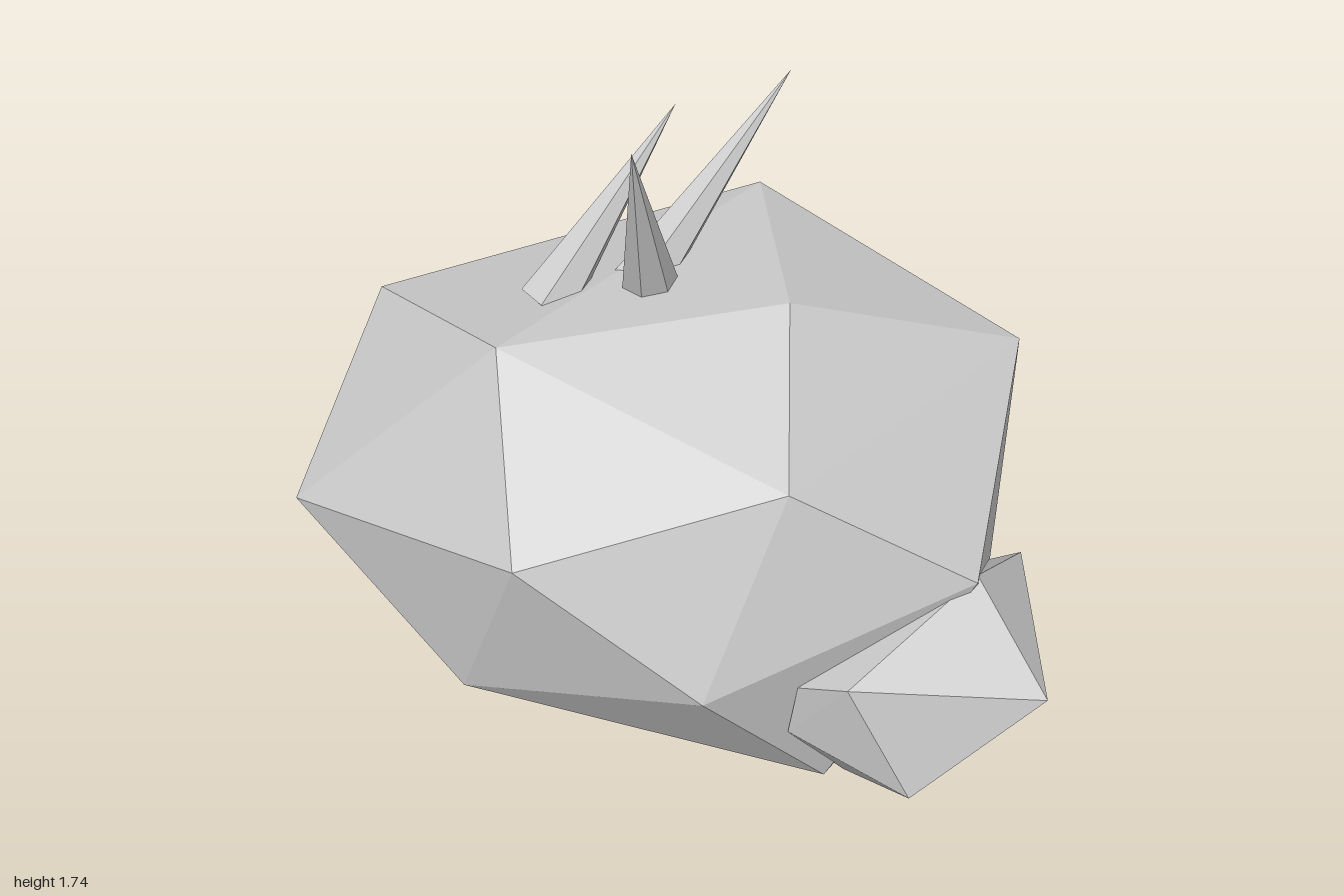
import * as THREE from 'three';
import { ConvexGeometry } from 'three/addons/geometries/ConvexGeometry.js';

const material = new THREE.MeshStandardMaterial({ color: 0xcccccc, flatShading: true });

// Faceted stone: the hull around a few corner points
function stone(name, corners) {
  const points = corners.map((c) => new THREE.Vector3(...c));
  const mesh = new THREE.Mesh(new ConvexGeometry(points), material);
  mesh.name = name;
  return mesh;
}

// Pointed shard running from a buried base to its tip
function shard(name, base, tip, radius) {
  const a = new THREE.Vector3(...base);
  const axis = new THREE.Vector3(...tip).sub(a);
  const length = axis.length();
  const geometry = new THREE.ConeGeometry(radius, length, 6).translate(0, length / 2, 0);
  const mesh = new THREE.Mesh(geometry, material);
  mesh.quaternion.setFromUnitVectors(new THREE.Vector3(0, 1, 0), axis.normalize());
  mesh.position.copy(a);
  mesh.name = name;
  return mesh;
}

export function createModel() {
  const group = new THREE.Group();
  group.name = 'rockCluster';

  group.add(stone('largeRock', [
    // top
    [-0.91, 1.05, -0.1], [-0.42, 1.22, 0.32], [0.24, 1.28, 0.03], [0.01, 1.235, -0.6],
    // front
    [-1, 0.66, 0.36], [-0.26, 0.865, 0.71], [0.2, 0.53, 0.69], [0.35, 1.05, 0.48], [-0.48, 0.3, 0.56],
    // +x side
    [0.77, 0.98, -0.41], [0.79, 0.72, 0.29], [0.78, 0.34, -0.12],
    // back
    [0.37, 0.58, -0.72], [-0.42, 0.78, -0.57], [-0.8, 0.43, -0.34],
    // bottom
    [0.45, 0.04, 0.38], [-0.39, 0.02, 0.05], [-0.13, 0.185, -0.55],
  ]));

  group.add(stone('smallRock', [
    [0.785, 0.72, 0.26], [1, 0.47, 0.39], [0.92, 0.17, 0.11], [0.49, 0, 0.31],
    [0.7, 0.2, 0.55], [0.53, 0.545, 0.565], [0.4, 0.49, 0.53], [0.375, 0.31, 0.51],
    [0.86, 0.48, -0.14], [0.5, 0.4, 0],
  ]));

  group.add(shard('frontShard', [-0.14, 1.18, -0.06], [-0.1, 1.74, 0.21], 0.08));
  group.add(shard('sideShard', [-0.39, 1.17, 0.03], [-0.13, 1.625, -0.26], 0.08));
  group.add(shard('backShard', [-0.19, 1.17, -0.11], [0.12, 1.66, -0.45], 0.08));

  return group;
}
